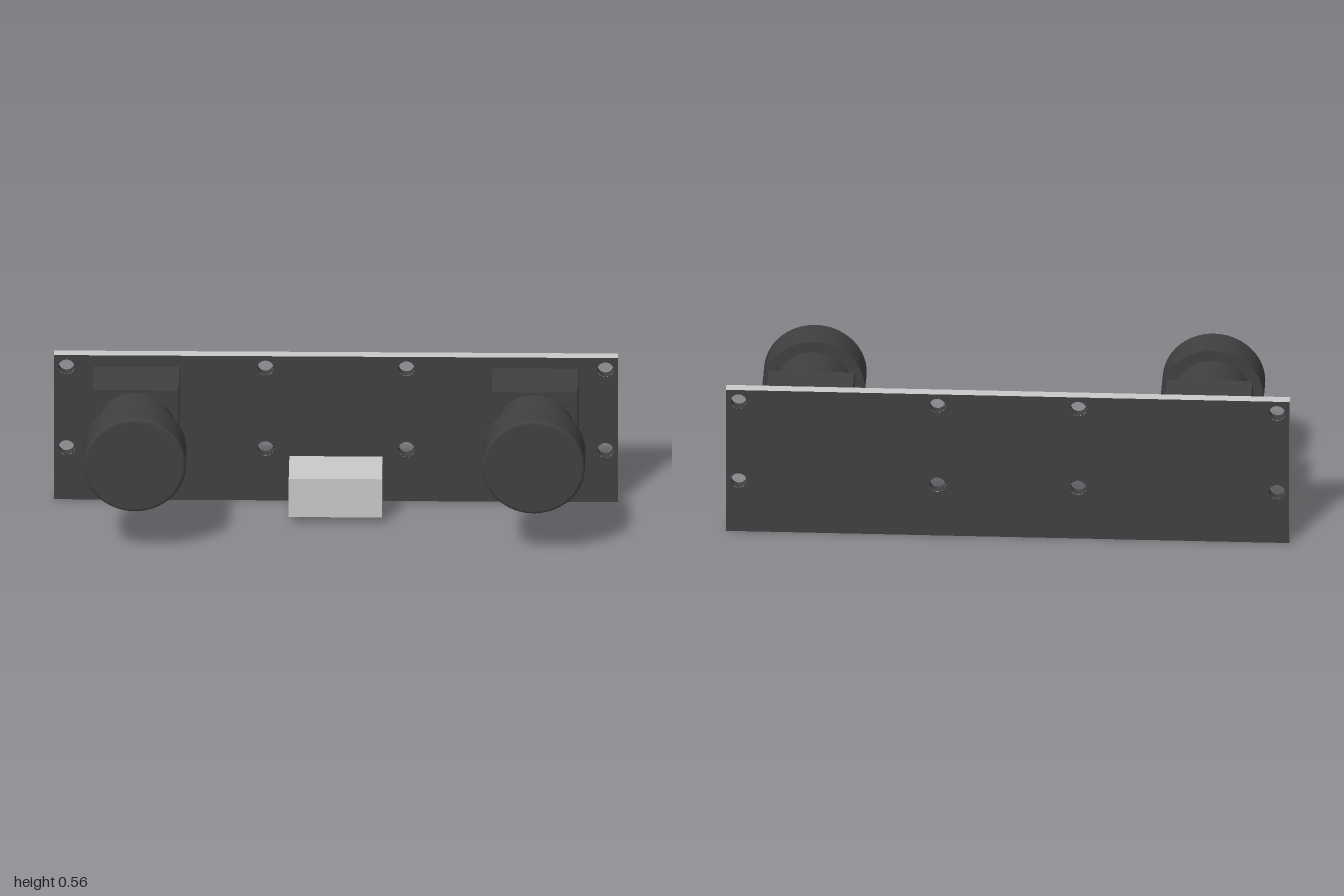
import * as THREE from 'three';

const dark = new THREE.MeshStandardMaterial({ color: 0x404040 });
dark.name = 'darkGrey';
const light = new THREE.MeshStandardMaterial({ color: 0xcacaca });
light.name = 'lightGrey';

const BOARD_BACK = -0.27, BOARD_FRONT = -0.232, BOARD_H = 0.565;

function add(parent, name, geometry, material, x = 0, y = 0, z = 0) {
  const mesh = new THREE.Mesh(geometry, material);
  mesh.name = name;
  mesh.position.set(x, y, z);
  parent.add(mesh);
  return mesh;
}

function rectangle(x0, y0, x1, y1) {
  return [[x0, y0], [x1, y0], [x1, y1], [x0, y1]].map(([x, y]) => new THREE.Vector2(x, y));
}

// Circuit board: dark faces, light edges, dark-lined mounting holes
function createBoard() {
  const board = new THREE.Group();
  board.name = 'board';
  const depth = BOARD_FRONT - BOARD_BACK;
  const holeRadius = 0.028;
  const shape = new THREE.Shape(rectangle(-1, 0, 1, BOARD_H));
  const liner = new THREE.CylinderGeometry(holeRadius, holeRadius, depth, 32, 1, true);
  liner.rotateX(Math.PI / 2);
  const linerMaterial = dark.clone();
  linerMaterial.side = THREE.BackSide;
  for (const x of [-0.955, -0.25, 0.25, 0.955]) {
    for (const y of [0.203, 0.519]) {
      const hole = new THREE.Path();
      hole.absarc(x, y, holeRadius + 0.0005, 0, Math.PI * 2, true);
      shape.holes.push(hole);
      add(board, 'holeLiner', liner, linerMaterial, x, y, (BOARD_FRONT + BOARD_BACK) / 2);
    }
  }
  const plate = new THREE.ExtrudeGeometry(shape, { depth, bevelEnabled: false, curveSegments: 32 });
  add(board, 'plate', plate, [dark, light], 0, 0, BOARD_BACK);
  return board;
}

// Camera: square mount, round barrel and a wider cap with a rounded front edge
function createCamera(x) {
  const camera = new THREE.Group();
  camera.name = x > 0 ? 'leftCamera' : 'rightCamera';
  camera.position.set(x, 0.37, 0);
  add(camera, 'mount', new THREE.BoxGeometry(0.304, 0.304, 0.196), dark, 0, 0, -0.134);

  const barrel = new THREE.CylinderGeometry(0.141, 0.141, 0.168, 64).rotateX(Math.PI / 2);
  add(camera, 'barrel', barrel, dark, 0, 0, 0.047);

  const side = new THREE.CylinderGeometry(0.182, 0.182, 0.128, 64, 1, true).rotateX(Math.PI / 2);
  add(camera, 'capSide', side, dark, 0, 0, 0.194);
  const fillet = [];
  for (let i = 0; i <= 6; i++) {
    const a = (i / 6) * Math.PI / 2;
    fillet.push(new THREE.Vector2(0.17 + 0.012 * Math.cos(a), 0.258 + 0.012 * Math.sin(a)));
  }
  add(camera, 'capEdge', new THREE.LatheGeometry(fillet, 64).rotateX(Math.PI / 2), dark);
  add(camera, 'capFront', new THREE.CircleGeometry(0.17, 64), dark, 0, 0, 0.27);
  add(camera, 'capBack', new THREE.CircleGeometry(0.182, 64).rotateY(Math.PI), dark, 0, 0, 0.13);
  return camera;
}

// Connector: a socket open at the bottom, with four upright pins inside
function createConnector() {
  const connector = new THREE.Group();
  connector.name = 'connector';
  const z0 = BOARD_FRONT, z1 = -0.044, wall = 0.018;
  const bottom = 0.024, top = 0.174, roof = 0.025;

  // The shape's y axis becomes -z once the extrusion is turned upright
  const shape = new THREE.Shape(rectangle(-0.165, -z1, 0.165, -z0));
  shape.holes.push(new THREE.Path(
    rectangle(-0.165 + wall, -z1 + wall, 0.165 - wall, -z0 - wall).reverse()));
  const walls = new THREE.ExtrudeGeometry(shape, { depth: top - roof - bottom, bevelEnabled: false });
  walls.rotateX(-Math.PI / 2);
  add(connector, 'socketWalls', walls, light, 0, bottom, 0);
  add(connector, 'socketRoof', new THREE.BoxGeometry(0.33, roof, z1 - z0), light,
    0, top - roof / 2, (z0 + z1) / 2);

  const pinBottom = 0.05, pinTop = top - roof;
  const pin = new THREE.CylinderGeometry(0.02, 0.02, pinTop - pinBottom, 24);
  for (let i = 0; i < 4; i++) {
    add(connector, 'pin', pin, light, -0.12 + i * 0.08, (pinTop + pinBottom) / 2, (z0 + z1) / 2);
  }
  return connector;
}

export function createModel() {
  const model = new THREE.Group();
  model.name = 'stereoSensorBoard';
  model.add(createBoard(), createCamera(0.707), createCamera(-0.707), createConnector());
  return model;
}
